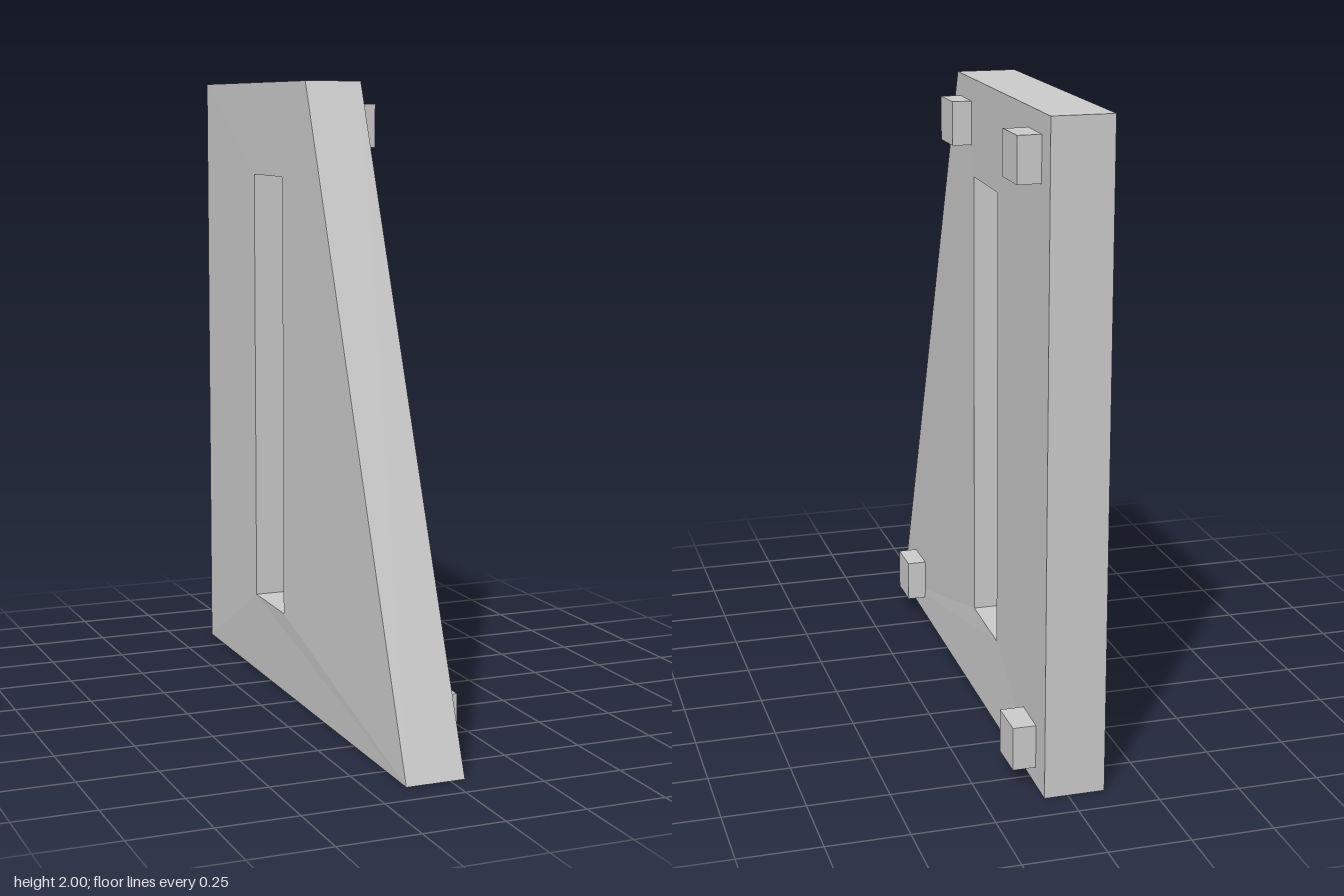
import * as THREE from 'three';

const THICKNESS = 0.185;

// Sideways position of the panel's inner face: straight in front, drifting to +x at the back
const drift = (z) => -0.139 + 0.026 * Math.max(0, (0.12 - z) / 1.02);

export function createModel() {
  const group = new THREE.Group();
  const material = new THREE.MeshStandardMaterial({ color: 0xcccccc, flatShading: true });

  const add = (geometry, name) => {
    const mesh = new THREE.Mesh(geometry, material);
    mesh.name = name;
    group.add(mesh);
    return mesh;
  };

  // Tapered panel with a tall slot, drawn in (-z, y)
  const outline = new THREE.Shape(
    [[-0.9, 0], [0.9, 0], [0.9, 2], [-0.12, 2]].map(([u, y]) => new THREE.Vector2(u, y))
  );
  outline.holes.push(new THREE.Path(
    [[0.08, 0.275], [0.08, 1.7], [0.36, 1.7], [0.36, 0.275]].map(([u, y]) => new THREE.Vector2(u, y))
  ));
  const panel = new THREE.ExtrudeGeometry(outline, { depth: THICKNESS, bevelEnabled: false });
  panel.rotateY(Math.PI / 2);

  // Slight warp of the panel, a touch fuller around the slot on the -x face
  const p = panel.attributes.position;
  for (let i = 0; i < p.count; i++) {
    const y = p.getY(i), z = p.getZ(i);
    const atSlot = y > 0.1 && y < 1.9;
    const bulge = atSlot && p.getX(i) < 0.01 ? -0.006 : 0;
    p.setX(i, p.getX(i) + drift(z) + bulge);
  }
  panel.computeVertexNormals();
  add(panel, 'panel');

  // Square mounting pegs on the +x face: outer x, centre y, centre z
  const pegs = [
    ['pegTopFront', 0.11, 1.862, 0.018],
    ['pegTopBack', 0.14, 1.872, -0.75],
    ['pegBottomFront', 0.11, 0.128, 0.643],
    ['pegBottomBack', 0.14, 0.122, -0.738],
  ];
  for (const [name, outer, y, z] of pegs) {
    const inner = outer - 0.08;
    add(new THREE.BoxGeometry(outer - inner, 0.135, 0.135), name)
      .position.set((outer + inner) / 2, y, z);
  }

  return group;
}
